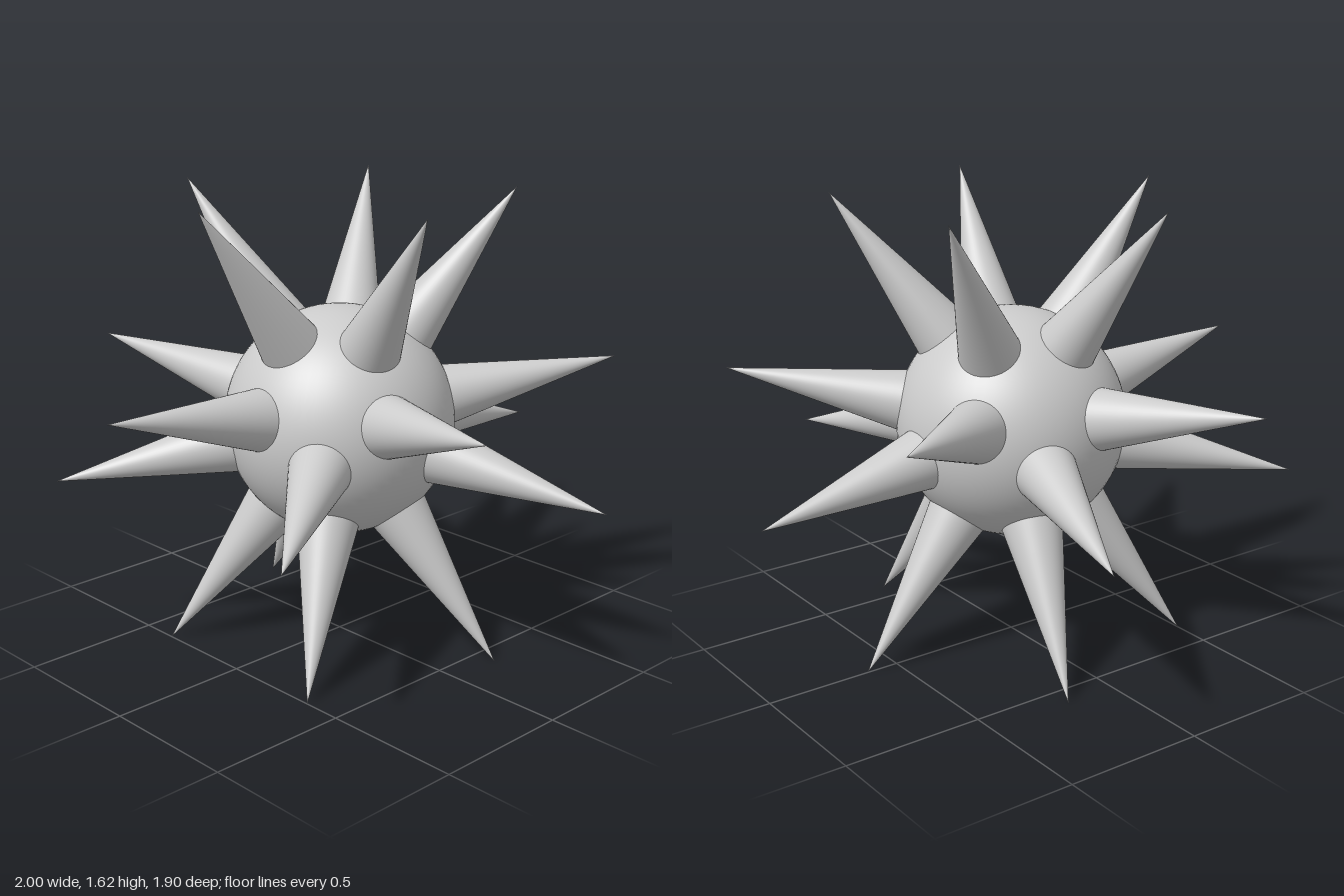
import * as THREE from 'three';

export function createModel() {
  const model = new THREE.Group();
  const material = new THREE.MeshStandardMaterial({ color: 0xcccccc });
  const centre = 0.809;
  const tipRadius = 1.018; // distance from centre to each spike tip
  const rootRadius = 0.34; // spike bases are buried inside the body

  // Round body
  const body = new THREE.Mesh(new THREE.SphereGeometry(0.407, 64, 48), material);
  body.name = 'body';
  body.position.y = centre;
  model.add(body);

  // One spike, with its base at the origin, pointing up
  const length = tipRadius - rootRadius;
  const spikeGeometry = new THREE.ConeGeometry(0.116, length, 48, 8);
  spikeGeometry.translate(0, length / 2, 0);

  const up = new THREE.Vector3(0, 1, 0);
  function addSpike(name, direction) {
    const spike = new THREE.Mesh(spikeGeometry, material);
    spike.name = name;
    spike.quaternion.setFromUnitVectors(up, direction);
    spike.position.copy(direction).multiplyScalar(rootRadius);
    spike.position.y += centre;
    model.add(spike);
  }

  // Four rings of five spikes, aimed at the corners of a dodecahedron;
  // the lower rings are the upper ones reflected through the centre
  const rings = [['outer', 0.7947], ['middle', 0.1876]];
  for (const [ring, height] of rings) {
    const spread = Math.sqrt(1 - height * height);
    for (let i = 0; i < 5; i++) {
      const angle = Math.PI + (i * Math.PI * 2) / 5;
      const direction = new THREE.Vector3(
        spread * Math.cos(angle), height, spread * Math.sin(angle)
      ).normalize();
      addSpike(`${ring}UpperSpike${i + 1}`, direction);
      addSpike(`${ring}LowerSpike${i + 1}`, direction.clone().negate());
    }
  }
  return model;
}
